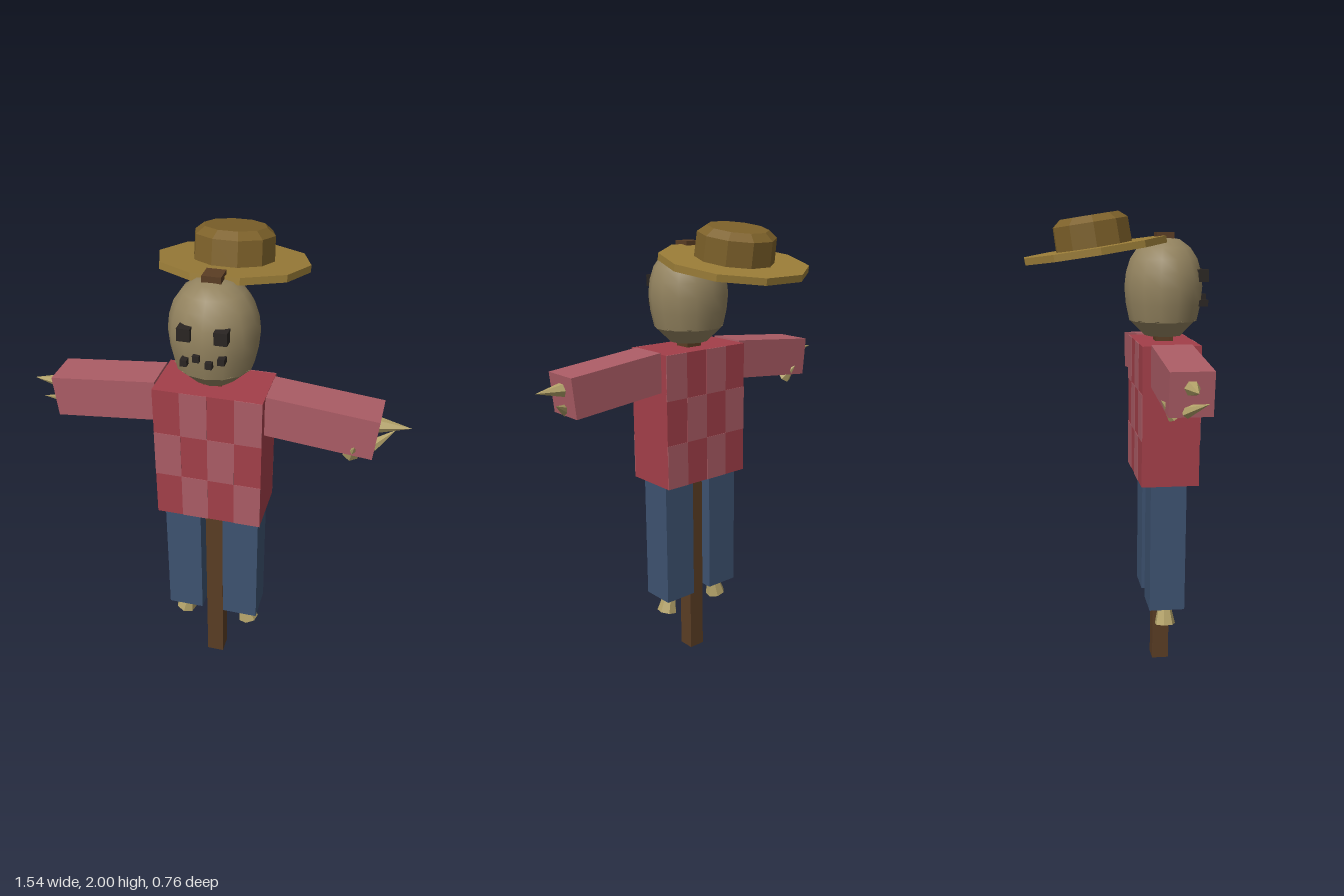
import * as THREE from 'three';

const Z = 0.203; // depth of the post's centre line

const mat = (color, flatShading = true) => new THREE.MeshStandardMaterial({ color, flatShading });
const wood = mat(0x5a3d24), red = mat(0xa33f49), pink = mat(0xab5c65), denim = mat(0x3d5270);
const straw = mat(0xb3a269), dark = mat(0x2a2522), brimMat = mat(0x9b7d38), crownMat = mat(0x7d612a);
const sack = mat(0x93835f, false), sackFlat = mat(0x93835f);
sack.side = THREE.DoubleSide;

function add(parent, name, geometry, material, x = 0, y = 0, z = 0) {
  const mesh = new THREE.Mesh(geometry, material);
  mesh.name = name;
  mesh.position.set(x, y, z);
  parent.add(mesh);
  return mesh;
}

function box(parent, name, w, h, d, material, x, y, z) {
  return add(parent, name, new THREE.BoxGeometry(w, h, d), material, x, y, z);
}

// Six-sided straw cone running from a base point to a tip
function spike(parent, name, base, tip, r) {
  const a = new THREE.Vector3(...base), b = new THREE.Vector3(...tip);
  const dir = b.clone().sub(a);
  const mesh = add(parent, name, new THREE.ConeGeometry(r, dir.length(), 6), straw);
  mesh.position.copy(a).lerp(b, 0.5);
  mesh.quaternion.setFromUnitVectors(new THREE.Vector3(0, 1, 0), dir.normalize());
}

// Sleeve with three straws, built for the +x side around the post axis
function makeArm(name) {
  const arm = new THREE.Group();
  arm.name = name;
  const sleeve = box(arm, 'sleeve', 0.435, 0.17, 0.167, pink, 0.429, 1.3655, 0);
  sleeve.rotation.z = -0.098;
  spike(arm, 'handStraw', [0.64, 1.368, 0], [0.768, 1.37, 0], 0.032);
  spike(arm, 'handStraw', [0.625, 1.278, 0.015], [0.71, 1.322, -0.053], 0.026);
  spike(arm, 'handStraw', [0.553, 1.252, 0.042], [0.568, 1.312, 0.1], 0.034);
  return arm;
}

export function createModel() {
  const model = new THREE.Group();
  model.name = 'scarecrow';

  // Post
  box(model, 'post', 0.074, 1.912, 0.074, wood, 0, 0.956, Z);

  // Shirt with checks showing on front and back
  const shirt = new THREE.Group();
  shirt.name = 'shirt';
  model.add(shirt);
  const w = 0.109, h = 0.1965;
  box(shirt, 'torso', w * 4, h * 3, 0.243, red, 0, 1.17, Z + 0.003);
  for (let row = 0; row < 3; row++) {
    for (let col = 0; col < 4; col++) {
      if ((row + col) % 2 === 0) continue;
      for (const side of [-1, 1]) {
        box(shirt, 'check', w, h, 0.004, pink,
          (col - 1.5) * w, 1.17 + (1 - row) * h, Z + 0.003 + side * 0.1215);
      }
    }
  }

  // Arms: the right one is the left one turned half way round the post
  const leftArm = makeArm('leftArm'), rightArm = makeArm('rightArm');
  rightArm.rotation.y = Math.PI;
  for (const arm of [leftArm, rightArm]) {
    arm.position.z = Z;
    model.add(arm);
  }

  // Legs with flared straw feet
  for (const s of [-1, 1]) {
    box(model, 'leg', 0.153, 0.565, 0.153, denim, s * 0.1245, 0.5925, Z);
    const foot = add(model, 'strawFoot', new THREE.CylinderGeometry(0.024, 0.046, 0.1, 7),
      straw, s * 0.139, 0.272, Z);
    foot.rotation.z = s * 0.21;
  }

  // Head: smooth sack with a gathered lower end
  const head = new THREE.Group();
  head.name = 'head';
  head.position.z = Z;
  model.add(head);
  const profile = [[0.152, 1.55], [0.168, 1.62], [0.175, 1.69], [0.168, 1.75], [0.15, 1.805],
    [0.118, 1.85], [0.07, 1.883], [0, 1.895]].map(p => new THREE.Vector2(...p));
  const skull = add(head, 'sackHead', new THREE.LatheGeometry(profile, 14), sack);
  const chin = add(head, 'sackGather', new THREE.CylinderGeometry(0.154, 0.083, 0.068, 10), sackFlat, 0, 1.521, 0);
  skull.scale.z = chin.scale.z = 0.95;

  // Face
  for (const s of [-1, 1]) box(head, 'eye', 0.05, 0.05, 0.056, dark, s * 0.069, 1.738, 0.145);
  for (let i = 0; i < 4; i++) {
    box(head, 'mouthStitch', 0.026, 0.026, 0.05, dark, (i - 1.5) * 0.0475, i % 3 ? 1.638 : 1.625, 0.15);
  }
  // Stagger the stitches
  const stitches = head.children.filter(m => m.name === 'mouthStitch');
  stitches.forEach((m, i) => { m.position.y = i % 2 ? 1.647 : 1.625; });

  // Hat slipped off to the back
  const hat = new THREE.Group();
  hat.name = 'hat';
  hat.position.set(0, 1.84, -0.089);
  hat.rotation.x = -0.155;
  model.add(hat);
  const start = Math.PI / 10;
  add(hat, 'brim', new THREE.CylinderGeometry(0.305, 0.305, 0.028, 10, 1, false, start), brimMat);
  const crown = [[0.163, 0], [0.16, 0.112], [0.125, 0.14], [0, 0.14]].map(p => new THREE.Vector2(...p));
  add(hat, 'crown', new THREE.LatheGeometry(crown, 10, start), crownMat);

  return model;
}
